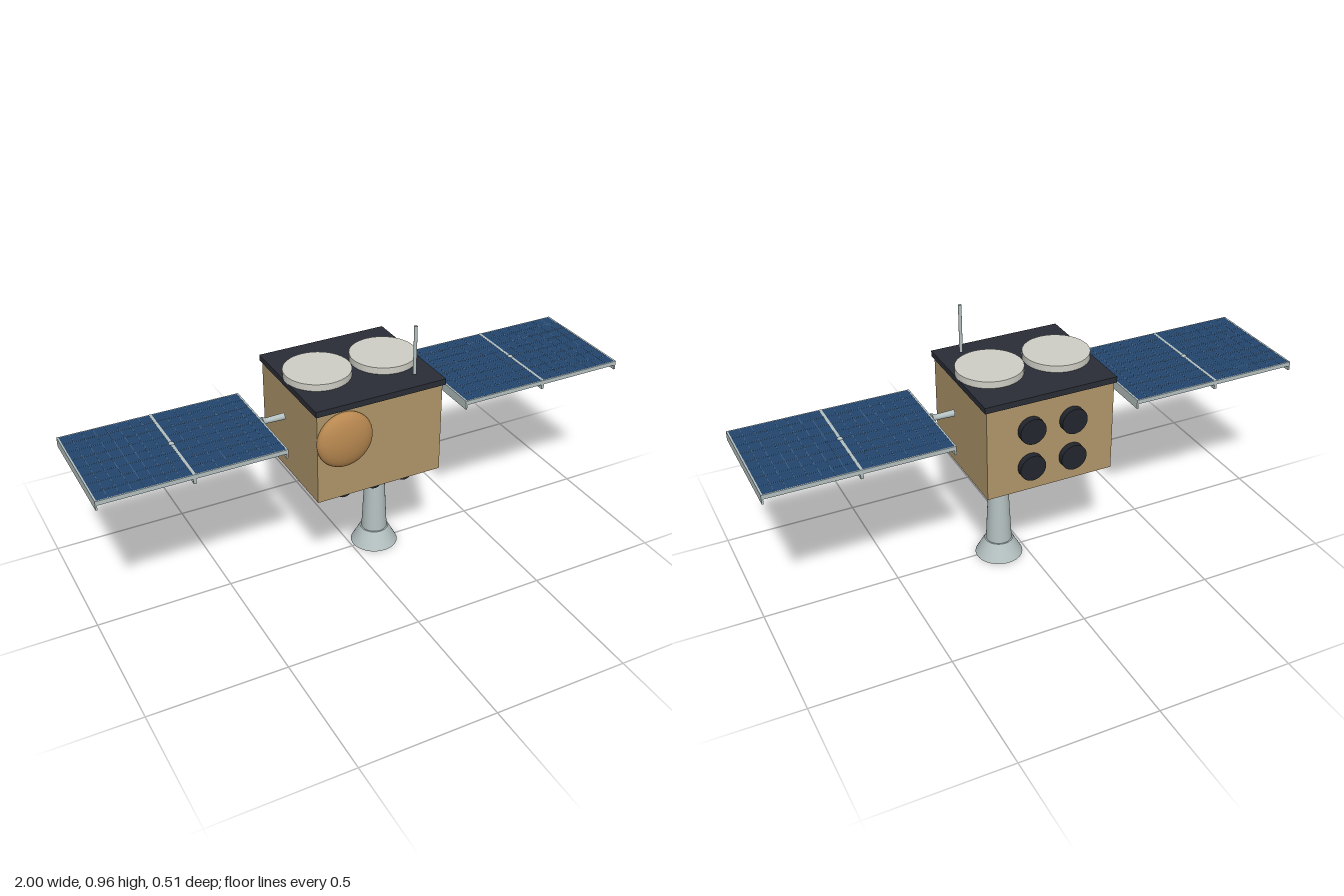
import * as THREE from 'three';

const mat = (color) => new THREE.MeshStandardMaterial({ color });
const Z = -0.008; // fore-aft centre of the bus

export function createModel() {
  const model = new THREE.Group();
  model.name = 'satellite';
  const gold = mat(0xb0966a), dark = mat(0x2a2d36), black = mat(0x22252d), white = mat(0xcfcfc6);
  const steel = mat(0xb4c0c0), blue = mat(0x23456d), lineBlue = mat(0x4f7090), copper = mat(0xb88850);

  const add = (parent, name, geometry, material, x, y, z) => {
    const mesh = new THREE.Mesh(geometry, material);
    mesh.name = name;
    mesh.position.set(x, y, z);
    parent.add(mesh);
    return mesh;
  };
  const box = (w, h, d) => new THREE.BoxGeometry(w, h, d);
  const cyl = (rTop, rBottom, h) => new THREE.CylinderGeometry(rTop, rBottom, h, 40);

  // Main body and top deck
  add(model, 'body', box(0.48, 0.345, 0.44), gold, -0.002, 0.577, Z);
  add(model, 'topDeck', box(0.495, 0.022, 0.457), dark, -0.002, 0.759, Z + 0.002);

  // Flat round antennas and whip on the deck
  for (const x of [-0.131, 0.126]) add(model, 'deckDish', cyl(0.12, 0.12, 0.026), white, x, 0.782, Z - 0.002);
  add(model, 'whipAntenna', cyl(0.006, 0.006, 0.182), steel, 0.16, 0.869, 0.154);

  // Front dome
  const dome = add(model, 'frontDome', new THREE.SphereGeometry(0.104, 40, 24), copper, -0.143, 0.637, 0.22);
  dome.scale.z = 0.038 / 0.104;

  // Four round ports on the back
  for (const x of [-0.079, 0.078]) for (const y of [0.504, 0.648]) {
    add(model, 'backPort', cyl(0.048, 0.048, 0.024), black, x, y, -0.244).rotation.x = Math.PI / 2;
  }

  // Underside sensors and equipment box
  for (const x of [-0.122, -0.002, 0.118]) {
    add(model, 'bellySensor', cyl(0.032, 0.032, 0.047), black, x, 0.403, 0.154).rotation.x = Math.PI / 2;
  }
  add(model, 'bellyBox', box(0.122, 0.026, 0.098), black, -0.144, 0.393, Z);

  // Long tapering column with a flared foot
  add(model, 'column', cyl(0.031, 0.048, 0.341), steel, 0.097, 0.2355, Z);
  add(model, 'flaredFoot', cyl(0.053, 0.088, 0.065), steel, 0.097, 0.0325, Z);

  // Solar wing, built along +x
  const buildWing = () => {
    const wing = new THREE.Group();
    const depth = 0.426, top = 0.646;
    add(wing, 'arm', cyl(0.01, 0.012, 0.075), steel, 0.2995, 0.64, Z).rotation.z = -Math.PI / 2;
    add(wing, 'armFlange', cyl(0.017, 0.011, 0.014), steel, 0.337, 0.64, Z).rotation.z = -Math.PI / 2;
    for (const x0 of [0.348, 0.676]) {
      const w = 0.32;
      const cx = x0 + w / 2;
      add(wing, 'solarPanel', box(w, 0.014, depth - 0.008), blue, cx, top - 0.007, Z);
      // Cell lines just above the surface
      for (let i = 1; i < 8; i++) add(wing, 'cellLine', box(0.0014, 0.001, depth - 0.01), lineBlue, x0 + w * i / 8, top, Z);
      for (let i = 1; i < 8; i++) add(wing, 'cellLine', box(w, 0.001, 0.0014), lineBlue, cx, top, Z + depth * (i / 8 - 0.5));
      // Long edge rails
      for (const s of [-1, 1]) add(wing, 'edgeRail', box(w, 0.016, 0.004), steel, cx, top - 0.008, Z + s * (depth / 2 - 0.002));
    }
    // Deep cross ribs at both ends and the middle joint
    for (const [x, w] of [[0.347, 0.006], [0.672, 0.01], [0.997, 0.006]]) {
      add(wing, 'crossRib', box(w, 0.034, depth), steel, x, top - 0.0165, Z);
    }
    add(wing, 'jointBolt', new THREE.SphereGeometry(0.011, 20, 12), steel, 0.672, 0.642, Z);
    return wing;
  };
  const leftWing = buildWing();
  leftWing.name = 'leftWing';
  const rightWing = buildWing();
  rightWing.name = 'rightWing';
  // Half turn about the vertical line through the bus centre
  rightWing.rotation.y = Math.PI;
  rightWing.position.z = 2 * Z;
  model.add(leftWing, rightWing);

  return model;
}
